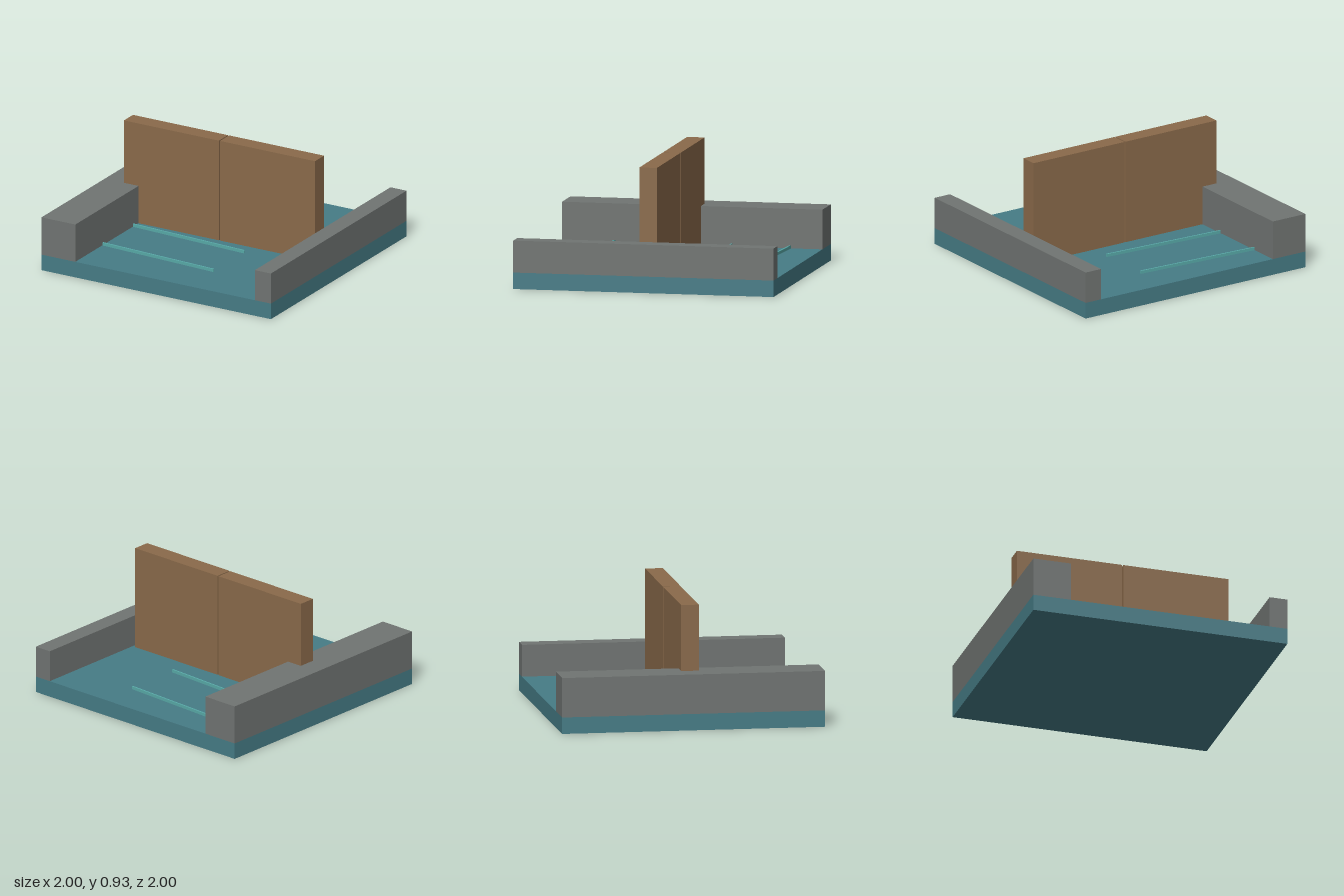
import * as THREE from 'three';

export function createModel() {
  const group = new THREE.Group();
  const material = (name, color) => {
    const m = new THREE.MeshStandardMaterial({ color });
    m.name = name;
    return m;
  };
  const water = material('water teal', 0x467c86);
  const stone = material('stone grey', 0x707472);
  const wood = material('gate brown', 0x8a6a4a);
  const foam = material('ripple aqua', 0x58aaa8);

  // Box given by its minimum and maximum corners
  const box = (name, mat, [x0, y0, z0], [x1, y1, z1]) => {
    const mesh = new THREE.Mesh(new THREE.BoxGeometry(x1 - x0, y1 - y0, z1 - z0), mat);
    mesh.position.set((x0 + x1) / 2, (y0 + y1) / 2, (z0 + z1) / 2);
    mesh.name = name;
    group.add(mesh);
    return mesh;
  };

  const waterTop = 0.125;

  // Water slab and the two banks of unequal size
  box('waterBase', water, [-1, 0, -1], [1, waterTop, 1]);
  box('rightBank', stone, [-1, waterTop, -1], [-0.705, 0.425, 1]);
  box('leftBank', stone, [0.86, waterTop, -1], [1, 0.367, 1]);

  // Pair of gate leaves with a narrow slit between them
  box('rightGate', wood, [-0.833, waterTop, -0.067], [-0.005, 0.927, 0.067]);
  box('leftGate', wood, [0.005, waterTop, -0.067], [0.833, 0.927, 0.067]);

  // Slightly slanted ripples on the water
  for (let i = 0; i < 4; i++) {
    const ripple = box('ripple', foam, [-0.705, waterTop, -0.006], [0.295, 0.148, 0.006]);
    ripple.position.z = -0.727 + i * 0.45;
    ripple.rotation.y = -0.052;
  }

  return group;
}
